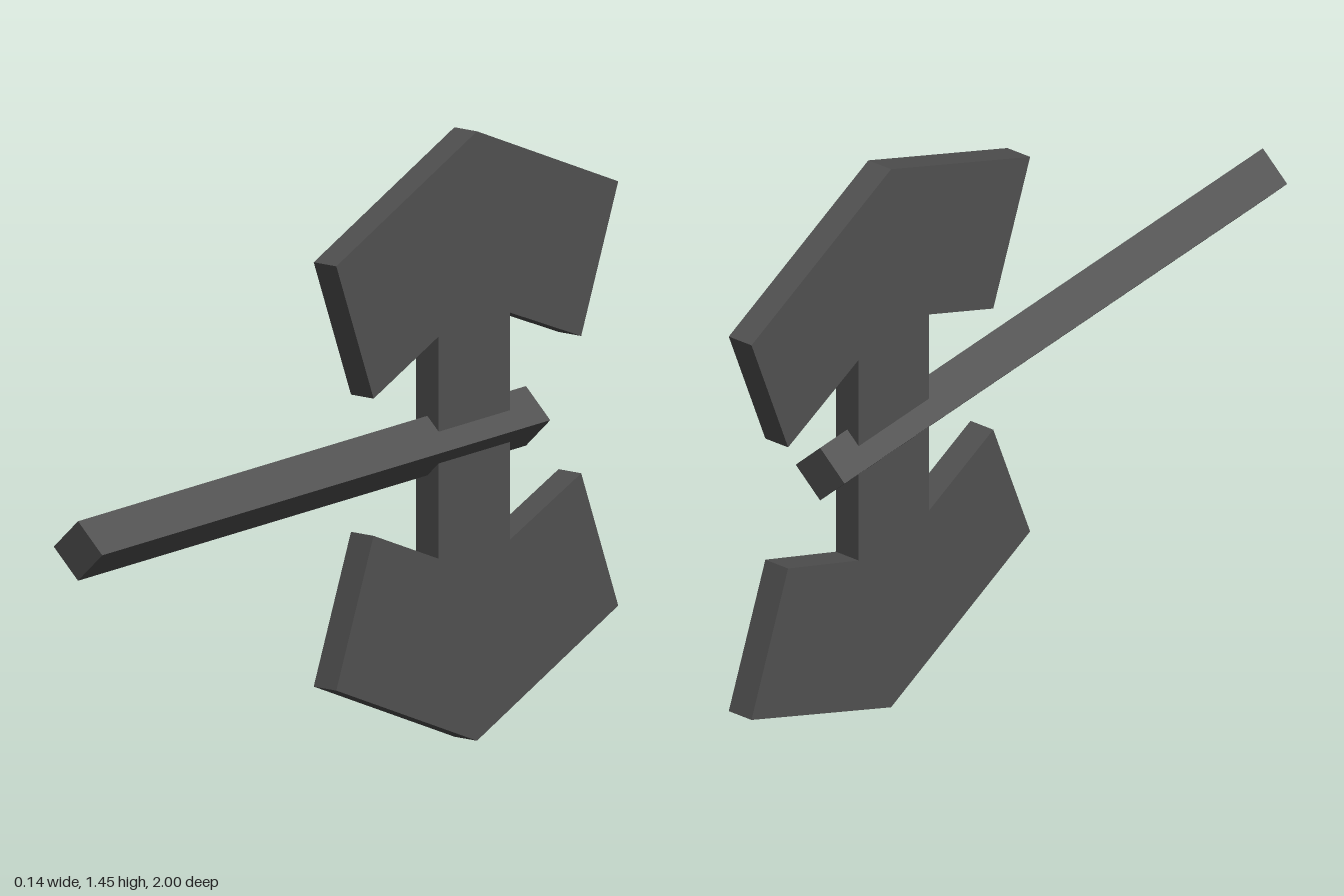
import * as THREE from 'three';

const MID = 0.724;    // height of the handle axis
const THICK = 0.066;  // head thickness

export function createModel() {
  const model = new THREE.Group();
  model.name = 'doubleHeadedAxe';
  const iron = new THREE.MeshStandardMaterial({ color: 0x505050 });
  iron.name = 'darkIron';

  // Upper half of the head outline as [z, height above the handle axis]
  const upper = [
    [-0.59, 0.27], [-0.86, 0.163], [-1, 0.504], [-0.466, 0.724],
    [0.066, 0.504], [-0.075, 0.163], [-0.321, 0.264],
  ];
  const lower = upper.map(([z, h]) => [z, -h]).reverse();
  const outline = [...upper, ...lower].map(([z, h]) => new THREE.Vector2(z, h));

  // Flat head, extruded across x
  const headGeo = new THREE.ExtrudeGeometry(new THREE.Shape(outline), { depth: THICK, bevelEnabled: false });
  headGeo.translate(0, 0, -THICK / 2).rotateY(-Math.PI / 2);
  const head = new THREE.Mesh(headGeo, iron);
  head.name = 'axeHead';
  head.position.y = MID;
  model.add(head);

  // Square handle turned on edge
  const handle = new THREE.Mesh(new THREE.BoxGeometry(0.1, 0.1, 1.694), iron);
  handle.name = 'handle';
  handle.rotation.z = Math.PI / 4;
  handle.position.set(0, MID, 0.153);
  model.add(handle);

  return model;
}
